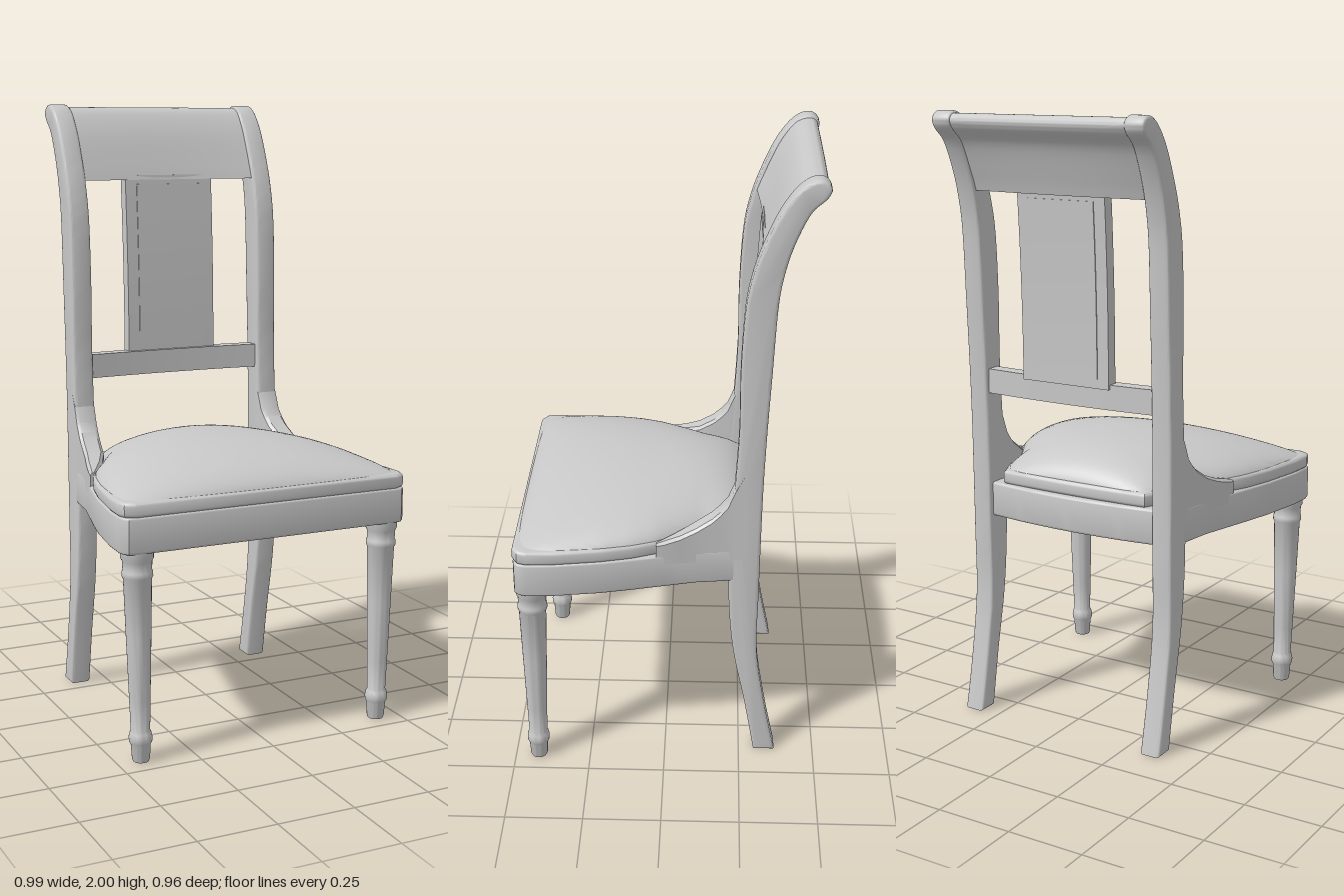
import * as THREE from 'three';
import { toCreasedNormals } from 'three/addons/utils/BufferGeometryUtils.js';

const grey = new THREE.MeshStandardMaterial({ color: 0xc8c8c8 });
grey.name = 'plain grey';

const vecs = (list) => list.map(([a, b]) => new THREE.Vector2(a, b));

// Linear lookup in a short table of [z, value]
function lookup(table, z) {
  if (z <= table[0][0]) return table[0][1];
  for (let i = 1; i < table.length; i++) {
    const [z0, v0] = table[i - 1], [z1, v1] = table[i];
    if (z <= z1) return v0 + (v1 - v0) * (z - z0) / (z1 - z0);
  }
  return table[table.length - 1][1];
}

// Extrude a [z, y] side profile across x, centred on x = 0
function sideExtrude(points, width, bevel, steps = 1) {
  const geo = new THREE.ExtrudeGeometry(new THREE.Shape(points), {
    depth: width - 2 * bevel, steps, bevelEnabled: bevel > 0,
    bevelSize: bevel, bevelThickness: bevel, bevelOffset: -bevel, bevelSegments: 3,
  });
  geo.rotateY(-Math.PI / 2);
  return geo.translate(width / 2 - bevel, 0, 0);
}

// Extrude a plan shape (x, -z) upwards between two heights
function planExtrude(shape, y0, y1, bevel) {
  const geo = new THREE.ExtrudeGeometry(shape, {
    depth: y1 - y0 - 2 * bevel, bevelEnabled: true, bevelSize: bevel,
    bevelThickness: bevel, bevelOffset: -bevel, bevelSegments: 3, curveSegments: 20,
  });
  geo.rotateX(-Math.PI / 2);
  return geo.translate(0, y0 + bevel, 0);
}

// Move every vertex by a rule
function warp(geo, rule) {
  const p = geo.attributes.position, v = new THREE.Vector3();
  for (let i = 0; i < p.count; i++) {
    rule(v.fromBufferAttribute(p, i));
    p.setXYZ(i, v.x, v.y, v.z);
  }
  return geo;
}

// Closed plan shape from a right-hand edge, mirrored, with a bowed back
function planShape(edge, bowZ, Type = THREE.Shape) {
  const s = new Type();
  s.moveTo(edge[0][0], -edge[0][1]);
  edge.slice(1).forEach(([x, z]) => s.lineTo(x, -z));
  [...edge].reverse().forEach(([x, z]) => s.lineTo(-x, -z));
  s.quadraticCurveTo(0, -bowZ, edge[0][0], -edge[0][1]);
  return s;
}

export function createModel() {
  const chair = new THREE.Group();
  chair.name = 'chair';
  const add = (name, geo, x = 0, y = 0, z = 0, crease = 0.6) => {
    const mesh = new THREE.Mesh(toCreasedNormals(geo, crease), grey);
    mesh.name = name;
    mesh.position.set(x, y, z);
    chair.add(mesh);
    return mesh;
  };

  // Back posts running into the splayed rear legs
  const postCurve = new THREE.SplineCurve(vecs([
    [-0.3, 0], [-0.265, 0.2], [-0.225, 0.4], [-0.207, 0.6], [-0.208, 0.8], [-0.22, 1], [-0.23, 1.2],
    [-0.23, 1.4], [-0.24, 1.6], [-0.26, 1.71], [-0.29, 1.8], [-0.335, 1.9], [-0.38, 1.965], [-0.42, 1.995],
    [-0.455, 1.998], [-0.477, 1.975], [-0.465, 1.945], [-0.42, 1.9], [-0.375, 1.8], [-0.348, 1.7], [-0.335, 1.6],
    [-0.325, 1.4], [-0.315, 1.2], [-0.308, 1], [-0.305, 0.8], [-0.303, 0.6], [-0.302, 0.4], [-0.33, 0.2], [-0.37, 0],
  ]));
  const postGeo = sideExtrude(postCurve.getPoints(112), 0.07, 0.01);
  for (const s of [1, -1]) add(s > 0 ? 'leftBackPost' : 'rightBackPost', postGeo, s * 0.345);

  // Scrolled crest rail, its lower edge bowed backwards
  const crestCurve = new THREE.SplineCurve(vecs([
    [-0.28, 1.75], [-0.3, 1.8], [-0.345, 1.9], [-0.388, 1.965], [-0.42, 1.988], [-0.455, 1.991],
    [-0.471, 1.972], [-0.458, 1.945], [-0.412, 1.9], [-0.365, 1.8], [-0.345, 1.75],
  ]));
  const bow = (x) => 1 - (x / 0.32) ** 2;
  add('crestRail', warp(sideExtrude(crestCurve.getPoints(50), 0.64, 0, 16), (v) => {
    v.z -= 0.015 * bow(v.x) * Math.min(1, (2 - v.y) / 0.25);
  }));

  // Lower cross rail
  add('lowerBackRail', warp(new THREE.BoxGeometry(0.64, 0.08, 0.05, 16, 1, 1), (v) => {
    v.z -= 0.014 * bow(v.x);
  }), 0, 1.13, -0.272);

  // Central splat, with a slightly raised panel, leaning with the posts
  const lean = (v) => { v.z -= 0.022 * (v.y / 0.6 + 0.5) ** 2; };
  add('splat', warp(new THREE.BoxGeometry(0.32, 0.61, 0.04, 1, 10, 1), lean), 0, 1.46, -0.295);
  add('splatPanel', warp(new THREE.BoxGeometry(0.24, 0.55, 0.046, 1, 10, 1), lean), 0, 1.46, -0.295);

  // Open seat frame with a bowed back rail
  const frame = planShape([
    [0.32, -0.285], [0.375, -0.27], [0.38, -0.22], [0.395, -0.1], [0.42, 0], [0.445, 0.1], [0.468, 0.2],
    [0.49, 0.35], [0.494, 0.43], [0.488, 0.457], [0.475, 0.471], [0.45, 0.476],
  ], -0.335);
  frame.holes.push(planShape([[0.3, -0.22], [0.35, 0], [0.4, 0.2], [0.425, 0.405]], -0.26, THREE.Path));
  add('seatFrame', planExtrude(frame, 0.67, 0.785, 0.008));

  // Swept shoulders joining the posts to the side rails: z, outer x, width, top
  const stations = [
    [-0.25, 0.38, 0.07, 1.06], [-0.22, 0.381, 0.07, 1.0], [-0.2, 0.382, 0.07, 0.95], [-0.175, 0.385, 0.07, 0.92],
    [-0.15, 0.388, 0.07, 0.897], [-0.1, 0.395, 0.068, 0.866], [-0.05, 0.408, 0.055, 0.846],
    [0, 0.42, 0.035, 0.834], [0.025, 0.424, 0.02, 0.828],
  ];
  for (const s of [1, -1]) {
    const pos = [], index = [], n = 6;
    for (const [z, x, w, top] of stations) {
      const c = Math.min(0.01, w / 3);
      const ring = [[x, 0.75], [x, top - c], [x - c, top], [x - w + c, top], [x - w, top - c], [x - w, 0.75]];
      ring.forEach(([a, b]) => pos.push(s * a, b, z));
    }
    const tri = (a, b, c) => (s > 0 ? index.push(a, b, c) : index.push(a, c, b));
    for (let i = 0; i < stations.length - 1; i++) {
      for (let j = 0; j < n; j++) {
        const a = i * n + j, b = i * n + (j + 1) % n;
        tri(a, b, b + n);
        tri(a, b + n, a + n);
      }
    }
    const last = (stations.length - 1) * n;
    for (let j = 1; j < n - 1; j++) {
      tri(0, j + 1, j);
      tri(last, last + j, last + j + 1);
    }
    const geo = new THREE.BufferGeometry();
    geo.setAttribute('position', new THREE.Float32BufferAttribute(pos, 3));
    geo.setIndex(index);
    add(s > 0 ? 'leftShoulder' : 'rightShoulder', geo);
  }

  // Cushion: a soft edge band, a domed top and a flat underside
  const widths = [
    [-0.28, 0.27], [-0.2, 0.308], [-0.12, 0.325], [-0.03, 0.378], [0.03, 0.415], [0.1, 0.443],
    [0.2, 0.468], [0.35, 0.491], [0.43, 0.495], [0.46, 0.485], [0.478, 0.455],
  ];
  add('cushionBand', planExtrude(planShape(widths.map(([z, x]) => [x, z]), -0.3), 0.783, 0.83, 0.012));
  const dome = warp(new THREE.PlaneGeometry(2, 2, 48, 48).rotateX(-Math.PI / 2), (v) => {
    const u = Math.sin(v.x * Math.PI / 2), t = Math.sin(v.z * Math.PI / 2);
    const z = 0.08 + t * (t > 0 ? 0.394 : 0.36);
    const across = Math.sqrt(Math.max(0, 1 - u * u));
    const along = Math.sqrt(Math.max(0, 1 - Math.abs(t) ** (t > 0 ? 2 : 3)));
    v.set(u * (lookup(widths, z) - 0.004), 0.81 + 0.125 * across * along, z);
  });
  add('cushionTop', dome, 0, 0, 0, 1.2);
  add('seatUnderside', planExtrude(planShape([[0.31, -0.23], [0.36, 0], [0.41, 0.2], [0.435, 0.42]], -0.27), 0.745, 0.775, 0.002));

  // Turned front legs
  const legProfile = vecs([
    [0, 0], [0.025, 0], [0.028, 0.008], [0.031, 0.055], [0.036, 0.064], [0.037, 0.078], [0.034, 0.092], [0.03, 0.1],
    [0.033, 0.2], [0.039, 0.4], [0.044, 0.585], [0.048, 0.592], [0.048, 0.606], [0.045, 0.612],
    [0.046, 0.64], [0.051, 0.65], [0.051, 0.69], [0, 0.69],
  ]);
  for (const s of [1, -1]) {
    const leg = warp(new THREE.LatheGeometry(legProfile, 28), (v) => { v.x += s * 0.012 * v.y; });
    add(s > 0 ? 'leftFrontLeg' : 'rightFrontLeg', leg, s * 0.422, 0, 0.423);
  }
  return chair;
}
